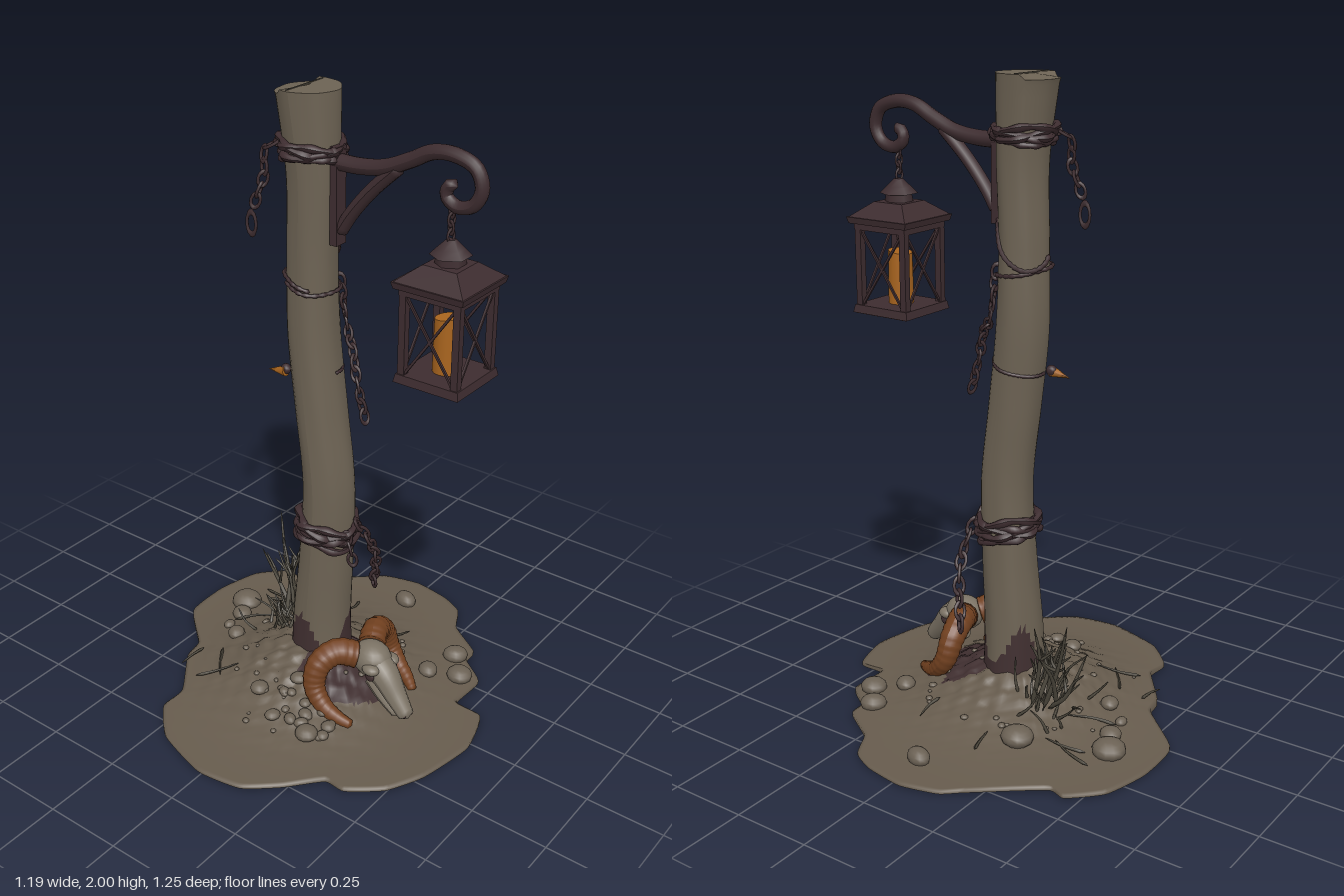
import * as THREE from 'three';

const mat = (name, color, side = THREE.FrontSide) => {
  const m = new THREE.MeshStandardMaterial({ color, side });
  m.name = name;
  return m;
};
const V = (x, y, z) => new THREE.Vector3(x, y, z);
const curve = pts => new THREE.CatmullRomCurve3(pts.map(p => V(...p)));

export function createModel() {
  const wood = mat('weathered wood', 0x6c6253);
  const earth = mat('earth', 0x665b4d, THREE.DoubleSide);
  const stain = mat('dark soil', 0x402f30, THREE.DoubleSide);
  const iron = mat('iron', 0x3d2c2f);
  const horn = mat('horn', 0x71401f);
  const wax = mat('candle wax', 0xa8641e);
  const bone = mat('bone', 0x7b7264);
  const stone = mat('stone', 0x6b6154);
  const grass = mat('dry grass', 0x4d483d);

  const model = new THREE.Group();
  let seed = 7;
  const rnd = (a = 0, b = 1) => {
    seed = (seed * 16807) % 2147483647;
    return a + (b - a) * seed / 2147483647;
  };
  const add = (parent, name, geo, material, x = 0, y = 0, z = 0) => {
    const m = new THREE.Mesh(geo, material);
    m.name = name;
    m.position.set(x, y, z);
    parent.add(m);
    return m;
  };
  const group = (name, parent = model) => {
    const g = new THREE.Group();
    g.name = name;
    parent.add(g);
    return g;
  };
  // Tube whose radius follows a rule, closed at both ends
  const taper = (path, radius, seg = 24, sides = 10) => {
    const g = new THREE.TubeGeometry(path, seg, 1, sides);
    const p = g.attributes.position, v = V(0, 0, 0);
    for (let k = 0; k < p.count; k++) {
      const i = Math.floor(k / (sides + 1)), c = path.getPointAt(i / seg);
      const r = i === 0 || i === seg ? 0.001 : radius(i / seg);
      v.fromBufferAttribute(p, k).sub(c).multiplyScalar(r).add(c);
      p.setXYZ(k, v.x, v.y, v.z);
    }
    g.computeVertexNormals();
    return g;
  };
  // Give triangles whose centre passes the rule the second material
  const paint = (g, rule) => {
    const p = g.attributes.position, sets = [[], []], idx = g.index.array;
    for (let i = 0; i < idx.length; i += 3) {
      const t = [idx[i], idx[i + 1], idx[i + 2]];
      const c = V(0, 0, 0);
      t.forEach(k => c.add(V(p.getX(k), p.getY(k), p.getZ(k)).divideScalar(3)));
      sets[rule(c) ? 1 : 0].push(...t);
    }
    g.clearGroups();
    g.setIndex([...sets[0], ...sets[1]]);
    g.addGroup(0, sets[0].length, 0);
    g.addGroup(sets[0].length, sets[1].length, 1);
    return g;
  };

  // Ground sheet with a rough mound
  const ground = (x, z) => {
    const r = Math.hypot(x + 0.01, z - 0.03), h = Math.exp(-((r / 0.27) ** 2));
    const bump = Math.sin(x * 61 + z * 23) * Math.sin(z * 57 - x * 31) + Math.sin(x * 113) * Math.sin(z * 127) * 0.6;
    return 0.009 + 0.155 * h + 0.007 * bump * Math.min(1, h * 1.5) * (h > 0.08 ? 1 : h / 0.08);
  };
  const outline = [[-0.03, -0.63], [0.1, -0.61], [0.18, -0.57], [0.23, -0.48], [0.35, -0.4], [0.36, -0.34], [0.45, -0.27], [0.45, -0.13],
    [0.55, -0.12], [0.595, 0.03], [0.56, 0.22], [0.5, 0.34], [0.4, 0.42], [0.33, 0.42], [0.24, 0.52], [0.14, 0.6], [-0.01, 0.62],
    [-0.2, 0.56], [-0.3, 0.46], [-0.3, 0.37], [-0.41, 0.22], [-0.43, 0.14], [-0.58, 0], [-0.59, -0.17], [-0.55, -0.32], [-0.46, -0.41], [-0.4, -0.4], [-0.21, -0.55], [-0.15, -0.6]];
  const rim = new THREE.CatmullRomCurve3(outline.map(([x, z]) => V(x, 0, z)), true, 'catmullrom', 0.25);
  const rings = 44, around = 160, pos = [], idx = [];
  for (let i = 0; i <= rings + 1; i++) for (let j = 0; j < around; j++) {
    const p = rim.getPoint(j / around).multiplyScalar(Math.min(i / rings, 1));
    pos.push(p.x, i > rings ? 0 : ground(p.x, p.z), p.z);
    if (i <= rings) {
      const a = i * around + j, b = i * around + (j + 1) % around;
      idx.push(a, b + around, a + around, a, b, b + around);
    }
  }
  const sheet = new THREE.BufferGeometry();
  sheet.setAttribute('position', new THREE.Float32BufferAttribute(pos, 3));
  sheet.setIndex(idx);
  sheet.computeVertexNormals();
  paint(sheet, c => Math.hypot((c.x - 0.14) / 0.16, (c.z - 0.02) / 0.17) < 1 + 0.12 * Math.sin(c.x * 50 + c.z * 40));
  add(model, 'ground', sheet, [earth, stain]);

  // Crooked post: centre x and radius by height
  const spine = curve([[0, 0, 0.105], [0, 0.25, 0.094], [0.016, 0.5, 0.086], [0.024, 0.75, 0.082], [-0.006, 1, 0.081],
    [-0.033, 1.25, 0.08], [-0.036, 1.5, 0.076], [-0.03, 1.75, 0.078], [-0.048, 2, 0.094]]);
  const postAt = y => spine.getPoint(THREE.MathUtils.clamp(y / 2, 0, 1));
  const trunk = new THREE.CylinderGeometry(1, 1, 2, 36, 60);
  const tp = trunk.attributes.position;
  for (let k = 0; k < tp.count; k++) {
    const x = tp.getX(k), z = tp.getZ(k), y = tp.getY(k) + 1, s = postAt(y), a = Math.atan2(z, x);
    const r = s.z * (1 + 0.025 * Math.sin(3 * a + y * 4) + 0.015 * Math.sin(7 * a - y * 5));
    tp.setXYZ(k, s.x + x * r, y > 1.99 ? (x < -0.35 ? 1.982 : 1.997) : y, z * r - 0.003);
  }
  trunk.computeVertexNormals();
  paint(trunk, c => c.y < 0.22 + 0.06 * Math.sin(Math.atan2(c.z, c.x) * 3 + 2.6));
  add(model, 'post', trunk, [wood, stain]);
  add(model, 'postCrack', new THREE.BoxGeometry(0.004, 0.004, 0.17), grass, -0.06, 1.997, 0);

  // Iron bracket with a scrolled end
  const bracket = group('bracket');
  const arm = curve([[0.03, 1.8, 0], [0.13, 1.8, 0], [0.22, 1.815, 0], [0.3, 1.85, 0], [0.37, 1.885, 0], [0.44, 1.89, 0], [0.505, 1.865, 0],
    [0.525, 1.81, 0], [0.5, 1.763, 0], [0.45, 1.75, 0], [0.415, 1.775, 0], [0.425, 1.805, 0], [0.45, 1.805, 0]]);
  add(bracket, 'scrollArm', taper(arm, t => 0.025 - 0.007 * t, 60, 12), iron);
  add(bracket, 'brace', taper(curve([[0.06, 1.585, 0], [0.1, 1.65, 0], [0.17, 1.735, 0], [0.27, 1.83, 0]]), () => 0.021, 20), iron);
  add(bracket, 'wallPlate', new THREE.BoxGeometry(0.025, 0.29, 0.045), iron, 0.056, 1.7, 0);

  // Chains of alternating links
  const chain = (name, pts, scale = 1) => {
    const g = group(name), c = curve(pts), n = Math.max(2, Math.round(c.getLength() / (0.034 * scale)));
    const link = new THREE.TorusGeometry(0.014 * scale, 0.0048 * scale, 6, 12);
    for (let i = 0; i <= n; i++) {
      const p = c.getPointAt(i / n), m = add(g, 'link', link, iron, p.x, p.y, p.z);
      m.quaternion.setFromUnitVectors(V(0, 1, 0), c.getTangentAt(i / n));
      m.rotateY(i % 2 ? 1.9 : 0.4);
      m.scale.y = 1.6;
    }
    return g;
  };
  // Strands wound round the post
  const wrap = (name, y, turns, height, thick, tilt, phase = 0) => {
    const pts = [], n = Math.ceil(turns * 20);
    for (let i = 0; i <= n; i++) {
      const a = phase + i / 20 * Math.PI * 2;
      const yy = y + height * Math.sin(i * 0.43 + phase) / 2 + tilt * Math.cos(a), s = postAt(yy);
      const r = s.z + thick * (0.8 + 0.6 * Math.sin(i * 1.3));
      pts.push([s.x + Math.cos(a) * r, yy, Math.sin(a) * r]);
    }
    add(model, name, taper(curve(pts), t => thick * (1 + 0.2 * Math.sin(t * 150)), n * 4, 7), iron);
  };
  wrap('upperBand', 1.83, 3, 0.035, 0.011, -0.006);
  wrap('upperBand', 1.815, 2, 0.02, 0.009, 0.008, 2);
  wrap('middleWire', 1.42, 1.2, 0.02, 0.006, -0.025, 1);
  wrap('middleWire', 1.5, 0.5, 0.1, 0.007, 0.03, 3);
  wrap('lowerBand', 0.61, 3, 0.05, 0.012, -0.012);
  wrap('lowerBand', 0.59, 3, 0.045, 0.011, -0.02, 2);
  wrap('thornWire', 1.13, 0.55, 0.01, 0.005, 0.015, 3);
  chain('upperChain', [[-0.11, 1.84, 0.04], [-0.155, 1.81, 0.06], [-0.15, 1.74, 0.075], [-0.175, 1.66, 0.085]]);
  const hook = add(model, 'endRing', new THREE.TorusGeometry(0.017, 0.005, 6, 14), iron, -0.188, 1.59, 0.09);
  hook.scale.y = 2;
  chain('middleChain', [[0.03, 1.42, -0.05], [0.05, 1.27, -0.06], [0.1, 1.22, -0.02], [0.13, 1.14, 0], [0.16, 1.03, 0]]);
  chain('lowerChain', [[0.12, 0.62, -0.03], [0.135, 0.53, -0.08], [0.12, 0.45, -0.13], [0.08, 0.31, -0.18]], 1.15);
  chain('lowerChainEnd', [[0.12, 0.6, 0.03], [0.135, 0.52, 0.02]]);
  chain('lanternChain', [[0.435, 1.735, 0], [0.435, 1.665, 0]], 0.8);

  // Small orange thorn on the post
  const thorn = add(model, 'thorn', new THREE.ConeGeometry(0.018, 0.07, 7), wax, -0.145, 1.11, 0.035);
  thorn.rotation.z = 1.75;
  add(model, 'thornKnot', new THREE.SphereGeometry(0.017, 8, 6), iron, -0.115, 1.12, 0.03);

  // Square lantern
  const lantern = group('lantern');
  lantern.position.set(0.435, 0, -0.004);
  const frustum = (name, top, bottom, y0, y1) => {
    const g = new THREE.CylinderGeometry(top * Math.SQRT2, bottom * Math.SQRT2, y1 - y0, 4).toNonIndexed();
    g.computeVertexNormals();
    add(lantern, name, g, iron, 0, (y0 + y1) / 2, 0).rotation.y = Math.PI / 4;
  };
  frustum('base', 0.103, 0.108, 1.237, 1.262);
  add(lantern, 'basePlate', new THREE.BoxGeometry(0.2, 0.004, 0.2), horn, 0, 1.236, 0);
  frustum('topFrame', 0.1, 0.1, 1.5, 1.525);
  frustum('eave', 0.117, 0.112, 1.52, 1.54);
  frustum('roof', 0.055, 0.112, 1.54, 1.585);
  [[0.04, 0.045, 1.583, 1.612], [0.04, 0.06, 1.61, 1.63], [0.014, 0.04, 1.63, 1.655]].forEach(([a, b, y0, y1]) =>
    add(lantern, 'chimney', new THREE.CylinderGeometry(a, b, y1 - y0, 6), iron, 0, (y0 + y1) / 2, 0));
  for (let i = 0; i < 4; i++) {
    const side = group('lanternSide', lantern);
    side.rotation.y = i * Math.PI / 2;
    add(side, 'cornerPost', new THREE.BoxGeometry(0.022, 0.25, 0.022), iron, 0.088, 1.38, 0.088);
    for (const s of [-1, 1]) {
      const bar = add(side, 'crossBar', new THREE.BoxGeometry(0.007, 0.285, 0.007), iron, 0, 1.38, 0.09);
      bar.rotation.z = s * 0.6;
    }
  }
  const candle = new THREE.CylinderGeometry(0.038, 0.04, 0.165, 14);
  const cp = candle.attributes.position;
  for (let k = 0; k < cp.count; k++) if (cp.getY(k) > 0) cp.setY(k, cp.getY(k) + cp.getX(k) * 0.15);
  add(lantern, 'candle', candle, wax, 0, 1.345, 0);

  // Horned skull leaning on the mound
  const skull = group('skull');
  skull.position.set(0.2, 0, 0.05);
  skull.rotation.y = -0.2;
  const ball = (name, m, r, x, y, z, sx, sy, sz) => add(skull, name, new THREE.SphereGeometry(r, 16, 12), m, x, y, z).scale.set(sx, sy, sz);
  ball('cranium', bone, 0.06, 0.045, 0.213, 0, 1.15, 0.95, 1);
  const snout = taper(curve([[0.03, 0.21, 0], [0.1, 0.185, 0], [0.16, 0.125, 0], [0.215, 0.07, 0]]), t => 0.058 - 0.034 * t, 20, 12);
  add(skull, 'snout', snout, bone);
  add(skull, 'jaw', taper(curve([[0.05, 0.15, 0], [0.1, 0.1, 0], [0.17, 0.055, 0]]), t => 0.034 - 0.018 * t, 14), bone);
  for (const s of [-1, 1]) {
    ball('brow', bone, 0.026, 0.085, 0.21, s * 0.042, 1.2, 0.7, 1);
    ball('eyeSocket', stain, 0.018, 0.088, 0.188, s * 0.05, 1, 1, 0.55);
    ball('nostril', stain, 0.01, 0.205, 0.085, s * 0.014, 1.4, 0.9, 0.8);
    const path = curve([[0.01, 0.22, 0.03], [-0.03, 0.235, 0.085], [-0.052, 0.2, 0.14], [-0.045, 0.13, 0.165], [0, 0.08, 0.165], [0.05, 0.06, 0.155], [0.1, 0.045, 0.135]].map(([x, y, z]) => [x, y, s * z]));
    add(skull, 'horn', taper(path, t => (0.044 - 0.03 * t * t) * (1 + 0.03 * Math.sin(t * 110)), 64, 14), horn);
  }

  // Stones: x, z, size
  const pebble = new THREE.SphereGeometry(1, 12, 8);
  const putStone = (x, z, r) => {
    const m = add(model, 'stone', pebble, stone, x, ground(x, z) + r * 0.25, z);
    m.scale.set(r, r * 0.65, r * rnd(0.75, 1.15));
    m.rotation.y = rnd(0, 3);
  };
  [[0, -0.5, 0.043], [0.32, -0.33, 0.043], [0.39, -0.245, 0.042], [0.3, -0.19, 0.036], [-0.2, -0.27, 0.05], [-0.45, -0.145, 0.052], [-0.41, -0.07, 0.034],
    [-0.33, 0.055, 0.032], [-0.05, 0.27, 0.03], [0.18, 0.32, 0.036], [0.05, 0.19, 0.026], [-0.4, 0.01, 0.022]].forEach(s => putStone(...s));
  for (let i = 0; i < 16; i++) putStone(rnd(0.02, 0.24), rnd(0.19, 0.34), rnd(0.012, 0.025));
  for (let i = 0; i < 40; i++) {
    const a = rnd(0, 6.28), d = rnd(0.14, 0.36);
    putStone(Math.cos(a) * d - 0.05, Math.sin(a) * d + 0.04, rnd(0.005, 0.012));
  }

  // Dry shrub, short tufts and fallen twigs
  const shrub = group('shrub');
  const twig = (name, a, b, r, bend = 0.03) => {
    const m = a.map((v, i) => (v + b[i]) / 2 + rnd(-bend, bend));
    add(shrub, name, taper(curve([a, m, b]), t => r * (1 - 0.6 * t), 8, 5), grass);
    return m;
  };
  [[-0.33, 0.42, -0.2], [-0.22, 0.39, -0.21], [-0.29, 0.35, -0.16], [-0.26, 0.31, -0.24], [-0.2, 0.33, -0.14], [-0.35, 0.3, -0.12]].forEach(tip => {
    const m = twig('tallStem', [-0.2 + rnd(-0.04, 0.04), 0.08, -0.12 + rnd(-0.04, 0.04)], tip, 0.009);
    for (let k = 0; k < 2; k++) twig('sideStem', m, [m[0] + rnd(-0.08, 0.05), m[1] + rnd(0.05, 0.12), m[2] + rnd(-0.06, 0.04)], 0.006, 0.01);
  });
  for (let i = 0; i < 34; i++) {
    const x = rnd(-0.3, -0.1), z = rnd(-0.2, 0.04), y = ground(x, z);
    twig('tuft', [x, y - 0.01, z], [x + rnd(-0.09, 0.05), y + rnd(0.04, 0.12), z + rnd(-0.07, 0.06)], 0.006, 0.012);
  }
  [[-0.44, -0.25, -0.3, -0.21], [-0.4, -0.2, -0.27, -0.22], [-0.38, 0.17, -0.39, 0.27], [-0.3, 0.3, -0.19, 0.21], [-0.31, 0.15, -0.22, 0.27], [-0.4, -0.02, -0.27, -0.1], [0.12, -0.24, 0.13, -0.33], [-0.12, -0.38, -0.11, -0.3]]
    .forEach(([x, z, u, w]) => twig('fallenTwig', [x, ground(x, z) + 0.008, z], [u, ground(u, w) + 0.008, w], 0.006, 0.008));

  return model;
}
